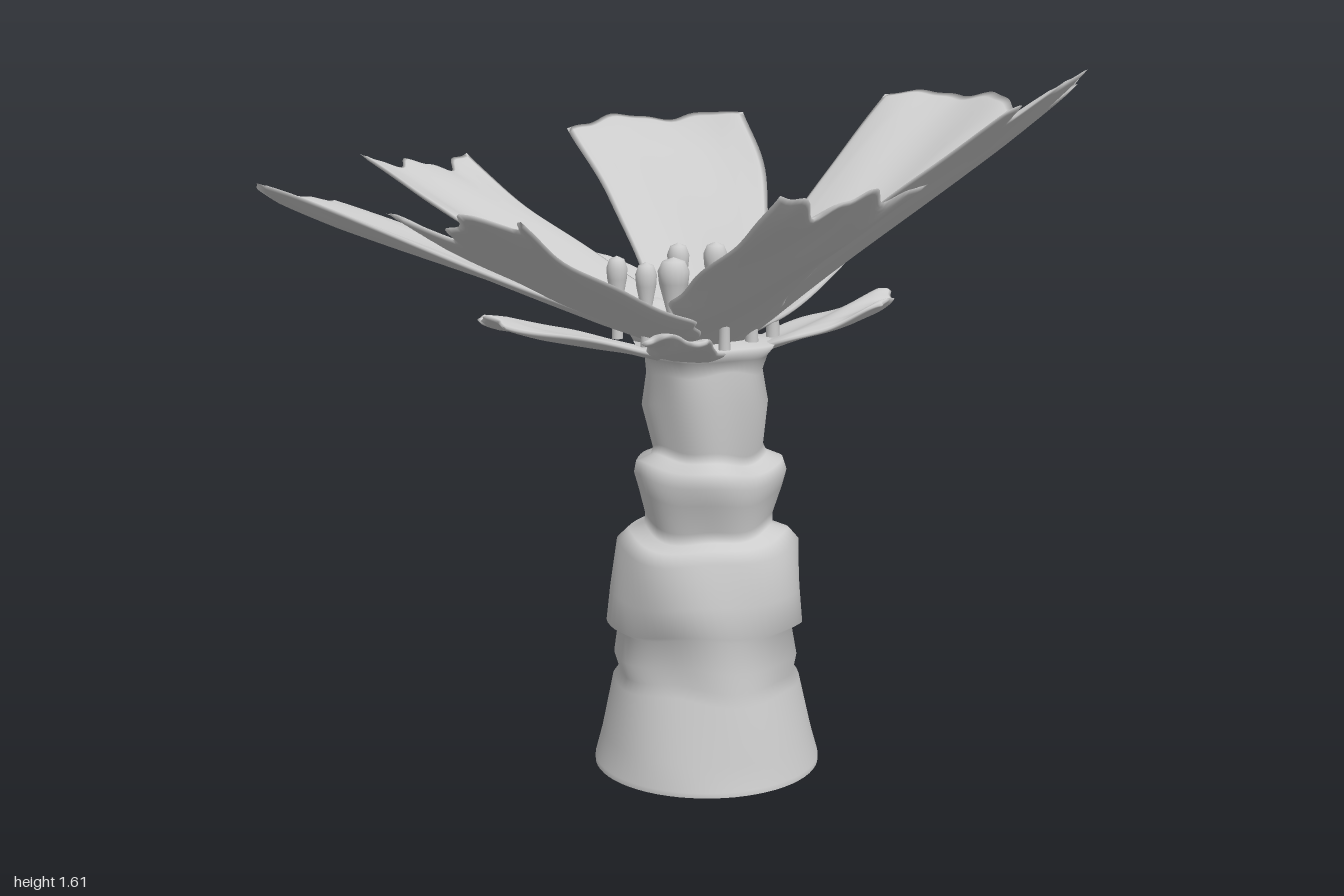
import * as THREE from 'three';
import { mergeVertices, mergeGeometries } from 'three/addons/utils/BufferGeometryUtils.js';

const material = new THREE.MeshStandardMaterial({ color: 0xcccccc, roughness: 0.8, side: THREE.DoubleSide });

// Plan positions are Vector2 (x, z)
const plan = ([x, z]) => new THREE.Vector2(x, z);
const center = plan([-0.09, 0.06]);

function addMesh(parent, name, geometry) {
  const mesh = new THREE.Mesh(geometry, material);
  mesh.name = name;
  parent.add(mesh);
  return mesh;
}

// Weld the seams and smooth the normals
function smooth(geometry) {
  geometry.deleteAttribute('uv');
  geometry.deleteAttribute('normal');
  const welded = mergeVertices(geometry, 1e-5);
  welded.computeVertexNormals();
  return welded;
}

// Unit vector to the left of the way from a to b, seen from above
const leftOf = (a, b) => new THREE.Vector2(b.y - a.y, a.x - b.x).normalize();

// Petal edge: from the heart past the notch to the tip corner, bowed sideways by bend.
// Inside the notch it spreads by overlap so that neighbours join.
function petalEdge(notch, corner, bend, overlap) {
  const root = center.clone().lerp(notch, 0.3);
  const inner = center.clone().lerp(notch, 0.7).addScaledVector(leftOf(center, notch), overlap);
  const middle = notch.clone().lerp(corner, 0.55).addScaledVector(leftOf(notch, corner), bend);
  return new THREE.SplineCurve([root, inner, notch, middle, corner]);
}

// Thin petal stretched between two edges, with a bulging, ragged tip.
// Left and right are as seen from the heart looking outward.
function petalGeometry({ notchL, notchR, tipL, tipR, bendL = 0, bendR = 0, bulge, ragged, baseY, tipY, cup = 0, seed }) {
  const W = 36, H = 40, thick = 0.011;
  const left = petalEdge(notchL, tipL, bendL, 0.03).getPoints(H);
  const right = petalEdge(notchR, tipR, -bendR, -0.03).getPoints(H);
  const outward = leftOf(tipL, tipR);
  const reach = tipL.clone().add(tipR).multiplyScalar(0.5).distanceTo(center) + bulge * 0.6;

  const face = (sign) => {
    const g = new THREE.PlaneGeometry(1, 1, W, H);
    for (let j = 0; j <= H; j++) for (let i = 0; i <= W; i++) {
      const u = sign > 0 ? i / W : 1 - i / W, v = 1 - j / H;
      const teeth = Math.sin(13 * u + seed) + 0.6 * Math.sin(27 * u + 2 * seed);
      const push = bulge * 4 * u * (1 - u) + ragged * teeth * Math.min(1, 8 * u, 8 * (1 - u));
      const p = left[H - j].clone().lerp(right[H - j], u).addScaledVector(outward, push * v ** 4);
      // Small nicks along both sides
      const across = right[H - j].clone().sub(left[H - j]).normalize();
      const nick = ragged * v * (1 - v) * Math.sin(24 * v + seed + 3 * u);
      p.addScaledVector(across, nick * (2 * u - 1));
      const r = Math.max(0, (p.distanceTo(center) - 0.1) / (reach - 0.1));
      const rim = Math.max(0, Math.min(1, 6 * u, 6 * (1 - u), 8 * (1 - v)));
      const y = baseY + (tipY - baseY) * r + cup * (2 * u - 1) ** 2 * Math.min(1, r)
        + 0.008 * r * Math.sin(8 * u + 9 * v + seed) + sign * thick * Math.sqrt(rim);
      g.attributes.position.setXYZ(j * (W + 1) + i, p.x, y, p.y);
    }
    return g;
  };
  return smooth(mergeGeometries([face(1), face(-1)]));
}

// Points where neighbouring large petals part
const notches = [[-0.4, 0.02], [-0.34, -0.28], [-0.02, -0.2], [0.25, -0.08], [0.1, 0.2], [-0.1, 0.4], [-0.33, 0.27]].map(plan);

// Large petals, clockwise from the back right
const largePetals = [
  { tipL: [-0.97, -0.34], tipR: [-0.67, -0.53], bendL: 0.02, bulge: 0.02, ragged: 0.012, tipY: 1.32, cup: 0.02 },
  { tipL: [-0.43, -0.79], tipR: [-0.1, -0.81], bendL: 0.01, bendR: -0.025, bulge: -0.02, ragged: 0.018, tipY: 1.35, cup: 0.02 },
  { tipL: [0.25, -0.84], tipR: [0.68, -0.61], bendL: -0.02, bendR: 0.04, bulge: 0.09, ragged: 0.01, tipY: 1.43, cup: 0.015 },
  { tipL: [0.9, -0.29], tipR: [0.9, 0.17], bendL: 0.01, bendR: -0.05, bulge: 0.09, ragged: 0.008, tipY: 1.5 },
  { tipL: [0.45, 0.66], tipR: [0.08, 0.79], bulge: 0.07, ragged: 0.03, tipY: 1.55, cup: 0.02 },
  { tipL: [-0.12, 0.77], tipR: [-0.41, 0.65], bulge: -0.02, ragged: 0.025, tipY: 1.36, cup: 0.01 },
  { tipL: [-0.9, 0.48], tipR: [-0.98, 0.16], bendL: -0.035, bendR: -0.02, bulge: 0.03, ragged: 0.04, tipY: 1.33, cup: 0.015 },
];

// Small lower petals: left notch, right notch, left corner, right corner
const smallPetals = [
  [[-0.13, -0.25], [0.12, -0.28], [-0.09, -0.54], [0.12, -0.51]],
  [[0.22, -0.22], [0.28, 0], [0.42, -0.29], [0.47, -0.14]],
  [[0.2, 0.17], [0.06, 0.3], [0.32, 0.24], [0.2, 0.36]],
  [[-0.25, 0.3], [-0.37, 0.21], [-0.42, 0.46], [-0.53, 0.38]],
  [[-0.36, 0.09], [-0.35, -0.09], [-0.62, 0.04], [-0.57, -0.1]],
];

// Hollow stem of overlapping, slightly crumpled sleeves, closed by the flower's floor
function stemGeometry() {
  const profile = [
    [0.262, 0], [0.262, 0.012], [0.245, 0.07], [0.218, 0.2], [0.203, 0.225], [0.212, 0.27], [0.2, 0.335],
    [0.224, 0.35], [0.217, 0.42], [0.21, 0.525], [0.185, 0.55], [0.148, 0.56], [0.147, 0.585],
    [0.165, 0.65], [0.175, 0.69], [0.168, 0.72], [0.133, 0.735], [0.126, 0.755], [0.144, 0.86],
    [0.132, 0.93], [0.14, 0.965], [0.165, 0.995], [0, 1.01],
  ].map(plan);
  const g = new THREE.LatheGeometry(profile, 64);
  const pos = g.attributes.position;
  for (let i = 0; i < pos.count; i++) {
    const x = pos.getX(i), y = pos.getY(i), z = pos.getZ(i), a = Math.atan2(z, x);
    const amount = Math.min(1, y * 5) * (y < 0.95 ? 1 : 0.3) * Math.min(1, Math.hypot(x, z) * 10);
    const k = 1 + amount * (0.03 * Math.sin(3 * a + 9 * y) + 0.02 * Math.sin(5 * a - 14 * y + 1));
    const lift = amount * (0.008 * Math.sin(2 * a + 11 * y) + 0.005 * Math.sin(5 * a + 5 * y));
    pos.setXYZ(i, x * k, y + lift, z * k);
  }
  return smooth(g);
}

export function createModel() {
  const model = new THREE.Group();
  model.name = 'flower';

  addMesh(model, 'stem', stemGeometry()).position.set(-0.085, 0, 0.085);

  largePetals.forEach((petal, i) => addMesh(model, 'largePetal', petalGeometry({
    ...petal, tipL: plan(petal.tipL), tipR: plan(petal.tipR),
    notchL: notches[i], notchR: notches[(i + 1) % notches.length], baseY: 1, seed: i * 1.7,
  })));

  smallPetals.forEach((corners, i) => {
    const [notchL, notchR, tipL, tipR] = corners.map(plan);
    const tipY = i < 2 ? 1.12 : 1.08; // the back pair stands higher
    addMesh(model, 'smallPetal', petalGeometry({
      notchL, notchR, tipL, tipR, bulge: 0.025, ragged: 0.006, baseY: 0.965, tipY, seed: i * 2.3,
    }));
  });

  // Round seed pods in the heart of the flower
  for (const [x, z, r] of [[-0.03, -0.02, 0.078], [-0.165, -0.005, 0.06], [-0.09, 0.1, 0.067]]) {
    addMesh(model, 'seedPod', new THREE.SphereGeometry(r, 24, 16)).position.set(x, 1.03, z);
  }

  // Club-shaped stamens around the pods
  const stamens = [[-0.24, -0.045, 1], [-0.265, 0.085, 1], [-0.255, 0.165, 1.45], [-0.165, 0.23, 1],
    [-0.045, 0.19, 1.15], [0.04, 0.17, 1.2], [0.065, -0.05, 1.2], [0.01, -0.12, 1.1]];
  const club = [[0.013, 0], [0.011, 0.08], [0.022, 0.135], [0.024, 0.16], [0.017, 0.18], [0, 0.188]].map(plan);
  for (const [x, z, s] of stamens) {
    const stamen = addMesh(model, 'stamen', new THREE.LatheGeometry(club, 16));
    stamen.position.set(x, 1, z);
    stamen.scale.set(s, 0.8 + 0.2 * s, s);
  }
  return model;
}
